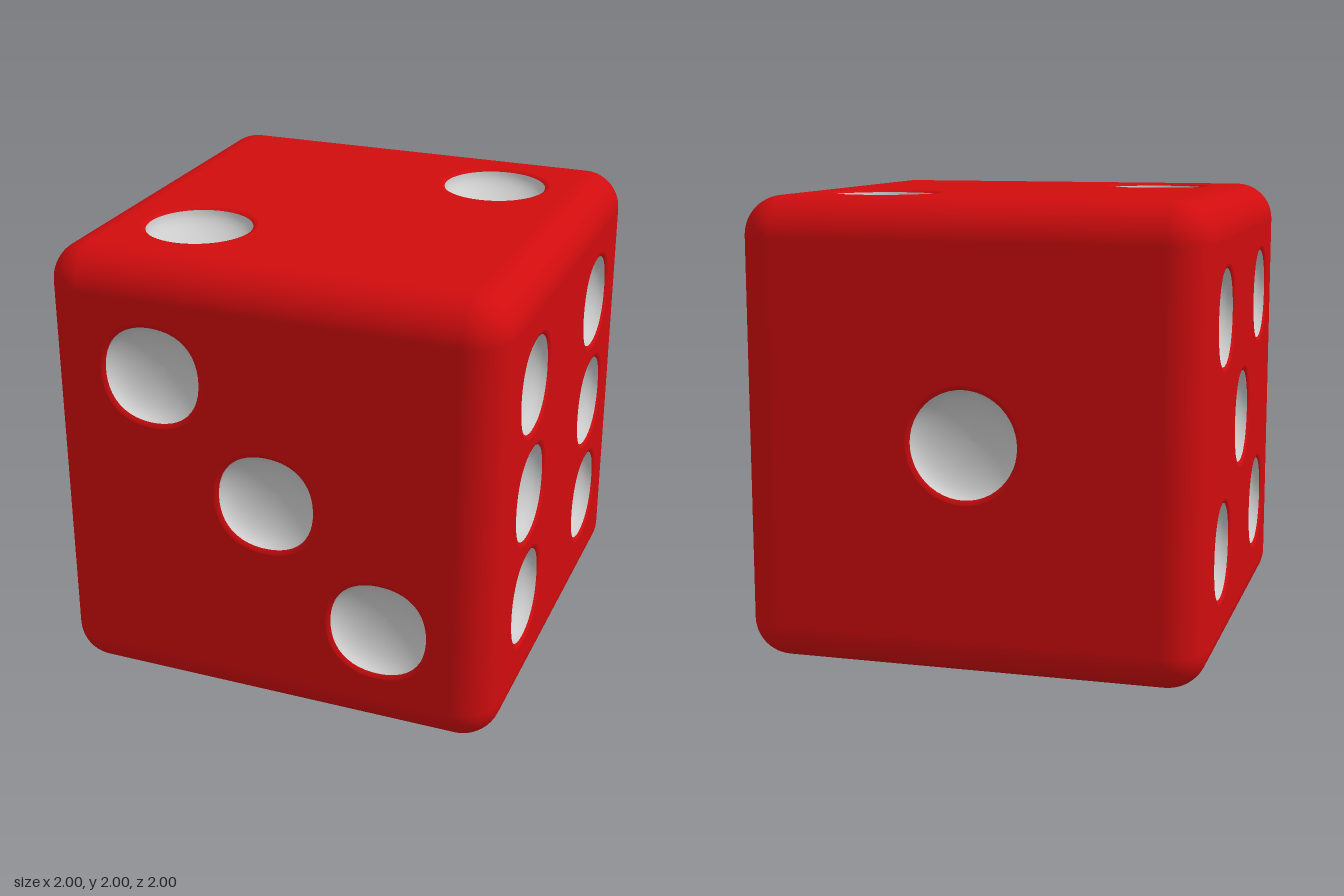
import * as THREE from 'three';
import { RoundedBoxGeometry } from 'three/addons/geometries/RoundedBoxGeometry.js';

const RADIUS = 0.17;      // rounding of the cube's edges
const FLAT = 1 - RADIUS;  // half size of each flat face
const SIDES = 48;
const red = new THREE.MeshStandardMaterial({ color: 0xd00c0e });
const grey = new THREE.MeshStandardMaterial({ color: 0xcccccc });

// Pips are round, or slightly squared by the factor k
const squared = (angle, k) => 1 + k * (1 - Math.cos(4 * angle)) / 2;

// Rounded edges and corners: a rounded box without its six flat panels
function edgeFrame() {
  const box = new RoundedBoxGeometry(2, 2, 2, 8, RADIUS);
  const src = box.index ? box.toNonIndexed() : box;
  const p = src.attributes.position, n = src.attributes.normal;
  const pos = [], nor = [];
  const isFlat = i => Math.max(Math.abs(n.getX(i)), Math.abs(n.getY(i)), Math.abs(n.getZ(i))) > 0.99999;
  for (let i = 0; i < p.count; i += 3) {
    if (isFlat(i) && isFlat(i + 1) && isFlat(i + 2)) continue;
    for (let j = i; j < i + 3; j++) {
      pos.push(p.getX(j), p.getY(j), p.getZ(j));
      nor.push(n.getX(j), n.getY(j), n.getZ(j));
    }
  }
  const g = new THREE.BufferGeometry();
  g.setAttribute('position', new THREE.Float32BufferAttribute(pos, 3));
  g.setAttribute('normal', new THREE.Float32BufferAttribute(nor, 3));
  return g;
}

// Flat panel with one hole per pip
function panel(spots, r, k) {
  const shape = new THREE.Shape([[-1, -1], [1, -1], [1, 1], [-1, 1]]
    .map(([x, y]) => new THREE.Vector2(x * FLAT, y * FLAT)));
  for (const [cx, cy] of spots) {
    const ring = [];
    for (let i = 0; i < SIDES; i++) {
      const a = -i / SIDES * Math.PI * 2, s = r * squared(a, k);
      ring.push(new THREE.Vector2(cx + s * Math.cos(a), cy + s * Math.sin(a)));
    }
    shape.holes.push(new THREE.Path(ring));
  }
  return new THREE.ShapeGeometry(shape);
}

// Hollow turned from a profile of [radius, height], rim first, facing +z
function hollow(profile, k) {
  const g = new THREE.LatheGeometry(profile.map(([r, h]) => new THREE.Vector2(r, h)), SIDES);
  g.rotateX(Math.PI / 2);
  const p = g.attributes.position;
  for (let i = 0; i < p.count; i++) {
    const s = squared(Math.atan2(p.getY(i), p.getX(i)), k);
    p.setXY(i, p.getX(i) * s, p.getY(i) * s);
  }
  return g;
}

function dieFace(name, spots, r, k) {
  const face = new THREE.Group();
  face.name = name;
  const add = (part, geometry, material, x = 0, y = 0) => {
    const m = new THREE.Mesh(geometry, material);
    m.name = part;
    m.position.set(x, y, 1);
    face.add(m);
  };
  const lipR = r + 0.02;
  add('facePanel', panel(spots, lipR, k), red);
  const lip = hollow([[lipR, 0], [r + 0.008, -0.003], [r, -0.01]], k);
  // Bowl: steep at the rim, nearly flat in the middle
  const profile = [[r, -0.01]];
  for (let i = 1; i <= 10; i++) {
    const t = i / 10 * Math.PI / 2;
    profile.push([i === 10 ? 0 : r * Math.cos(t), -0.01 - 0.11 * Math.sin(t)]);
  }
  const bowl = hollow(profile, k);
  for (const [x, y] of spots) {
    add('pipRim', lip, red, x, y);
    add('pip', bowl, grey, x, y);
  }
  return face;
}

export function createModel() {
  const die = new THREE.Group();
  die.name = 'die';
  const body = new THREE.Group();
  body.name = 'body';
  body.position.y = 1;
  die.add(body);

  const frame = new THREE.Mesh(edgeFrame(), red);
  frame.name = 'roundedEdges';
  body.add(frame);

  const d = 0.5, H = Math.PI / 2;
  const corners = [[-d, -d], [d, -d], [d, d], [-d, d]];
  // name, pip centres, pip radius, squareness, rotation about x and y
  const faces = [
    ['frontFace', [[-d, d], [0, 0], [d, -d]], 0.213, 0.04, 0, 0],
    ['backFace', [[0, 0]], 0.23, 0, 0, Math.PI],
    ['sixFace', [...corners, [-d, 0], [d, 0]], 0.204, 0.04, 0, H],
    ['fiveFace', [...corners, [0, 0]], 0.206, 0.03, 0, -H],
    ['topFace', [[d, d], [-d, -d]], 0.228, 0, -H, 0],
    ['bottomFace', corners, 0.21, 0.02, H, 0],
  ];
  for (const [name, spots, r, k, rx, ry] of faces) {
    const face = dieFace(name, spots, r, k);
    face.rotation.set(rx, ry, 0);
    body.add(face);
  }
  return die;
}
